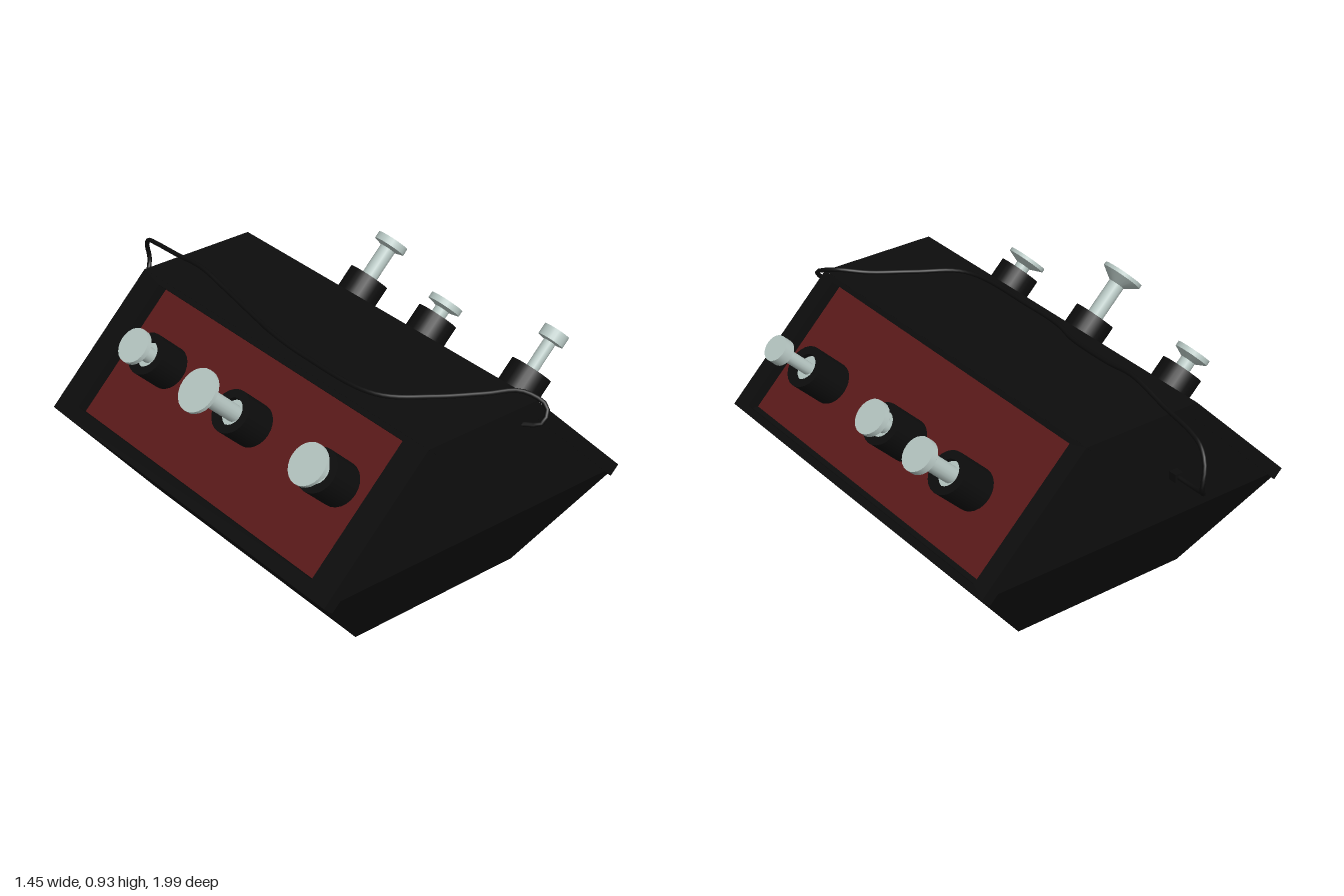
import * as THREE from 'three';

const black = new THREE.MeshStandardMaterial({ color: 0x0d0d0d });
const red = new THREE.MeshStandardMaterial({ color: 0x5c1a1a });
const metal = new THREE.MeshStandardMaterial({ color: 0xb8c8c4 });

function add(parent, name, geometry, material, x = 0, y = 0, z = 0) {
  const mesh = new THREE.Mesh(geometry, material);
  mesh.name = name;
  mesh.position.set(x, y, z);
  parent.add(mesh);
  return mesh;
}

function lathe(points, segments = 24) {
  // each profile step gets its own band, so edges stay crisp
  const profile = points.flatMap(([r, y], i) =>
    i > 0 && i < points.length - 1 ? [[r, y], [r, y + 1e-5]] : [[r, y]]);
  return new THREE.LatheGeometry(profile.map(([r, y]) => new THREE.Vector2(r, y)), segments);
}

const RECESS = 0.05;   // depth of the panel below the sloped face
const SLOPE = 0.636;   // length of the sloped face
const DEPTH = 1.65;    // length of the upper body along z

// Lower hull: a box tapering to a smaller base
function hullGeometry() {
  const g = new THREE.BoxGeometry(1.4, 0.4, DEPTH);
  const p = g.attributes.position;
  for (let i = 0; i < p.count; i++) {
    if (p.getY(i) < 0) p.setXYZ(i, p.getX(i) * 0.546, p.getY(i), p.getZ(i) * 0.745);
  }
  g.computeVertexNormals();
  return g;
}

// Upper body: prism stepped inward where the sloped frames sit
function upperGeometry() {
  const half = [[0.629, 0.4], [0.2146, 0.8146], [0.25, 0.85]];
  const outline = [...half, ...half.map(([x, y]) => [-x, y]).reverse()];
  const shape = new THREE.Shape(outline.map(([x, y]) => new THREE.Vector2(x, y)));
  return new THREE.ExtrudeGeometry(shape, { depth: DEPTH, bevelEnabled: false })
    .translate(0, 0, -DEPTH / 2);
}

// Border around a recessed panel
function frameGeometry(x0, x1, halfZ) {
  const rect = (a, b, h) => [[a, -h], [b, -h], [b, h], [a, h]].map(([x, y]) => new THREE.Vector2(x, y));
  const shape = new THREE.Shape(rect(-SLOPE / 2, SLOPE / 2, DEPTH / 2));
  shape.holes.push(new THREE.Path(rect(x0, x1, halfZ)));
  return new THREE.ExtrudeGeometry(shape, { depth: RECESS, bevelEnabled: false })
    .rotateX(-Math.PI / 2).translate(0, -RECESS, 0);
}

// Collar with a metal plunger; y points out of the sloped face
function plunger(collarTop, { height, radius, thick, rod, flare }) {
  const g = new THREE.Group();
  g.name = 'plunger';
  add(g, 'collar', lathe([[0.085, -RECESS], [0.085, collarTop], [0.052, collarTop], [0.052, -RECESS]]), black);
  add(g, 'socket', new THREE.CylinderGeometry(0.052, 0.052, 0.02, 24), metal, 0, collarTop - 0.03, 0);
  add(g, 'plungerRod', new THREE.CylinderGeometry(rod, rod, height, 16), metal, 0, height / 2 - 0.01, 0);
  const low = height - thick;
  add(g, 'plungerHead', lathe([
    [rod, low - flare], [radius, low], [radius, height], [0, height],
  ]), metal);
  return g;
}

// Sloped face with frame, panel and plungers, facing +x
function slopedSide(name, x0, x1, halfZ, axis, collarTop, plungers) {
  const side = new THREE.Group();
  side.name = name;
  const slope = new THREE.Group();
  slope.name = 'slopedFace';
  slope.position.set(0.475, 0.625, 0);
  slope.rotation.z = -Math.PI / 4;
  side.add(slope);
  add(slope, 'panelFrame', frameGeometry(x0, x1, halfZ), black);
  add(slope, 'panel', new THREE.BoxGeometry(x1 - x0, 0.01, halfZ * 2), red,
    (x0 + x1) / 2, -RECESS, 0);
  for (const p of plungers) {
    const unit = plunger(collarTop, p);
    unit.position.set(axis, 0, p.z);
    slope.add(unit);
  }
  return side;
}

export function createModel() {
  const model = new THREE.Group();
  model.name = 'plungerBox';

  const body = new THREE.Group();
  body.name = 'body';
  body.position.set(-0.03, 0, 0.11);
  model.add(body);
  add(body, 'lowerHull', hullGeometry(), black, 0, 0.2, 0);
  add(body, 'upperBody', upperGeometry(), black);

  body.add(slopedSide('leftSide', -0.297, 0.29, 0.75, 0.027, 0.118, [
    { z: -0.46, height: 0.293, radius: 0.067, thick: 0.03, rod: 0.033, flare: 0.01 },
    { z: -0.05, height: 0.185, radius: 0.07, thick: 0.025, rod: 0.03, flare: 0.01 },
    { z: 0.47, height: 0.29, radius: 0.053, thick: 0.045, rod: 0.025, flare: 0.005 },
  ]));
  // turned half round, so z runs the other way
  const right = slopedSide('rightSide', -0.297, 0.262, 0.71, -0.055, 0.096, [
    { z: 0.46, height: 0.175, radius: 0.07, thick: 0.02, rod: 0.03, flare: 0.02 },
    { z: -0.06, height: 0.296, radius: 0.084, thick: 0.015, rod: 0.033, flare: 0.035 },
    { z: -0.545, height: 0.155, radius: 0.08, thick: 0.015, rod: 0.03, flare: 0.02 },
  ]);
  right.rotation.y = Math.PI;
  body.add(right);

  // Loose cable lying along the top and hanging over both ends
  const path = [
    [-0.16, 0.61, -0.76], [-0.16, 0.61, -0.86], [-0.14, 0.63, -0.92], [-0.07, 0.71, -0.99],
    [-0.09, 0.79, -0.975], [-0.11, 0.835, -0.93], [-0.125, 0.855, -0.86], [-0.14, 0.875, -0.7],
    [-0.16, 0.903, -0.5], [-0.17, 0.885, -0.35], [-0.2, 0.864, -0.1], [-0.22, 0.868, 0],
    [-0.23, 0.864, 0.2], [-0.2, 0.864, 0.57], [-0.05, 0.858, 0.7], [0.1, 0.86, 0.8],
    [0.2, 0.87, 0.88], [0.235, 0.835, 0.97], [0.2, 0.79, 0.985], [0.15, 0.775, 0.92],
  ].map((p) => new THREE.Vector3(...p));
  const cable = new THREE.CatmullRomCurve3(path, false, 'centripetal');
  add(model, 'cable', new THREE.TubeGeometry(cable, 100, 0.009, 8), black);
  add(model, 'cablePlug', new THREE.BoxGeometry(0.035, 0.033, 0.035), black, -0.16, 0.61, -0.755);

  return model;
}
